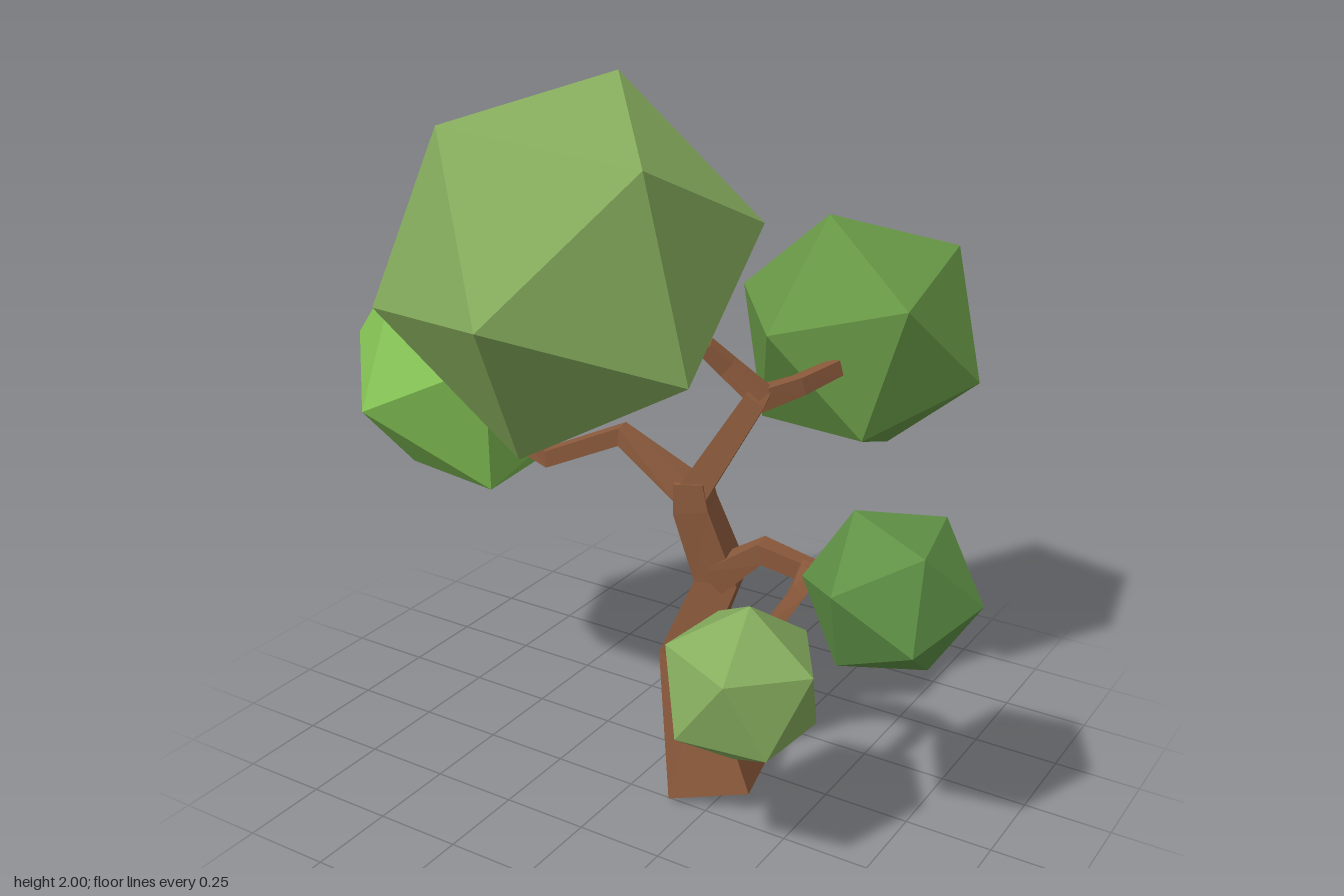
import * as THREE from 'three';

const V = (a) => new THREE.Vector3(a[0], a[1], a[2]);
const material = (color) => new THREE.MeshStandardMaterial({ color, flatShading: true });

// Foliage clump: an icosahedron turned so that two adjacent corners lie along a and b
function clump(name, color, radius, centre, a, b) {
  const va = V(a).normalize(), vb = V(b).normalize();
  const z = va.clone().add(vb).normalize();
  const y = va.clone().sub(vb).normalize();
  const x = y.clone().cross(z);
  const mesh = new THREE.Mesh(new THREE.IcosahedronGeometry(radius, 0), material(color));
  mesh.quaternion.setFromRotationMatrix(new THREE.Matrix4().makeBasis(x, y, z));
  mesh.position.copy(V(centre));
  mesh.name = name;
  return mesh;
}

// Tapered four-sided limb through points [x, y, z, half diagonal], capped at both ends
function limb(name, points, bark) {
  const centres = points.map(V);
  const last = points.length - 1;
  const rings = centres.map((c, i) => {
    const t = new THREE.Vector3();
    if (i > 0) t.add(c.clone().sub(centres[i - 1]).normalize());
    if (i < last) t.add(centres[i + 1].clone().sub(c).normalize());
    t.normalize();
    const w = new THREE.Vector3(0.26, 0, 0.966);
    w.addScaledVector(t, -w.dot(t)).normalize();
    const u = w.clone().cross(t);
    return [0, 1, 2, 3].map((k) => {
      const angle = Math.PI / 4 + (k * Math.PI) / 2;
      return c.clone()
        .addScaledVector(u, points[i][3] * Math.cos(angle))
        .addScaledVector(w, points[i][3] * Math.sin(angle));
    });
  });
  const corners = [];
  const quad = (a, b, c, d) => corners.push(a, b, c, a, c, d);
  for (let i = 0; i < last; i++) {
    for (let k = 0; k < 4; k++) {
      const n = (k + 1) % 4;
      quad(rings[i][k], rings[i][n], rings[i + 1][n], rings[i + 1][k]);
    }
  }
  quad(...rings[0].slice().reverse());
  quad(...rings[last]);
  const geometry = new THREE.BufferGeometry().setFromPoints(corners);
  geometry.computeVertexNormals();
  const mesh = new THREE.Mesh(geometry, bark);
  mesh.name = name;
  return mesh;
}

export function createModel() {
  const tree = new THREE.Group();
  tree.name = 'tree';
  const bark = material(0x8b5a3c);

  // Trunk and branches
  const wood = new THREE.Group();
  wood.name = 'wood';
  wood.add(
    limb('trunk', [
      [0.222, 0.032, 0.122, 0.17], [0.12, 0.425, 0.13, 0.094],
      [0.205, 0.66, 0.1, 0.085], [0.145, 0.87, 0.14, 0.07], [0.14, 0.95, 0.15, 0.058],
    ], bark),
    limb('rightBranch', [
      [0.14, 0.91, 0.15, 0.055], [-0.09, 1.025, 0.14, 0.037],
      [-0.28, 0.945, 0.22, 0.034], [-0.36, 0.97, 0.22, 0.03],
    ], bark),
    limb('upperBranch', [
      [0.14, 0.9, 0.15, 0.058], [0.295, 1.185, 0.08, 0.042], [0.31, 1.215, 0.07, 0.036],
    ], bark),
    limb('crownTwig', [[0.31, 1.19, 0.075, 0.04], [0.22, 1.265, 0.1, 0.034], [0.17, 1.32, 0.13, 0.03]], bark),
    limb('backTwig', [
      [0.29, 1.18, 0.085, 0.042], [0.36, 1.2, -0.03, 0.034], [0.405, 1.22, -0.16, 0.03],
    ], bark),
    limb('leftBranch', [
      [0.2, 0.66, 0.12, 0.06], [0.345, 0.775, 0.12, 0.042],
      [0.47, 0.735, 0.09, 0.036], [0.6, 0.74, 0.14, 0.03],
    ], bark),
    limb('lowTwig', [[0.47, 0.745, 0.09, 0.034], [0.475, 0.7, 0.17, 0.03], [0.465, 0.65, 0.3, 0.026]], bark),
  );

  // Foliage
  const foliage = new THREE.Group();
  foliage.name = 'foliage';
  foliage.add(
    clump('crownFoliage', 0x87ae5e, 0.515, [-0.145, 1.53, 0.293], [0.09, -0.03, 0.505], [-0.02, -0.47, 0.21]),
    clump('rightFoliage', 0x86c556, 0.393, [-0.595, 1.135, 0.118], [-0.385, 0.045, 0.076], [-0.12, -0.058, 0.369]),
    clump('backFoliage', 0x679745, 0.37, [0.332, 1.228, -0.447], [0.11, -0.065, -0.348], [0.06, -0.352, -0.09]),
    clump('leftFoliage', 0x5f9145, 0.234, [0.75, 0.79, 0.183], [-0.068, 0.058, 0.217], [-0.222, 0.004, 0.05]),
    clump('lowFoliage', 0x87ae5e, 0.227, [0.45, 0.542, 0.41], [0.018, 0.228, -0.004], [0.207, 0.084, 0.012]),
  );

  tree.add(wood, foliage);
  return tree;
}
